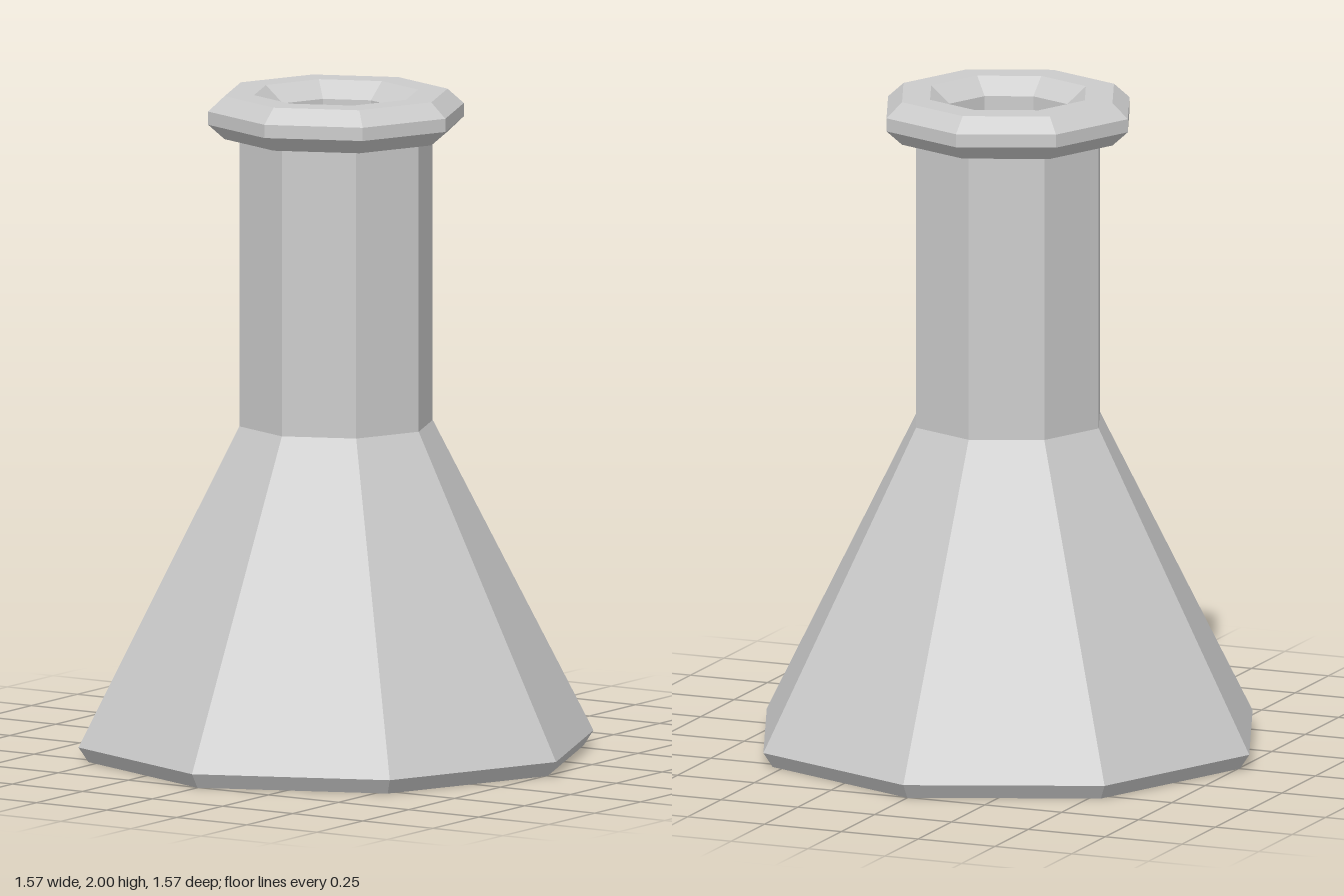
import * as THREE from 'three';

const SIDES = 8;

export function createModel() {
  const flask = new THREE.Group();
  flask.name = 'flask';
  const material = new THREE.MeshStandardMaterial({ color: 0xcccccc, flatShading: true });

  // Turns a [radius, height] profile into an eight-sided faceted part
  function addTurned(name, profile) {
    const points = profile.map(([r, y]) => new THREE.Vector2(r, y));
    const mesh = new THREE.Mesh(new THREE.LatheGeometry(points, SIDES), material);
    mesh.name = name;
    flask.add(mesh);
  }

  // Closed base with a small bevel, then the tapering body
  addTurned('body', [[0, 0], [0.755, 0], [0.785, 0.045], [0.295, 1]]);

  // Straight neck
  addTurned('neck', [[0.295, 1], [0.295, 1.87]]);

  // Bevelled lip, over the rim and into the mouth
  addTurned('lip', [
    [0.295, 1.87], [0.34, 1.87], [0.39, 1.915], [0.39, 1.955],
    [0.34, 2], [0.25, 2], [0.19, 1.95],
  ]);

  // Hollow inside: neck bore, widening chamber and flat floor
  addTurned('interior', [[0.19, 1.95], [0.19, 1], [0.64, 0.1], [0, 0.1]]);

  return flask;
}
